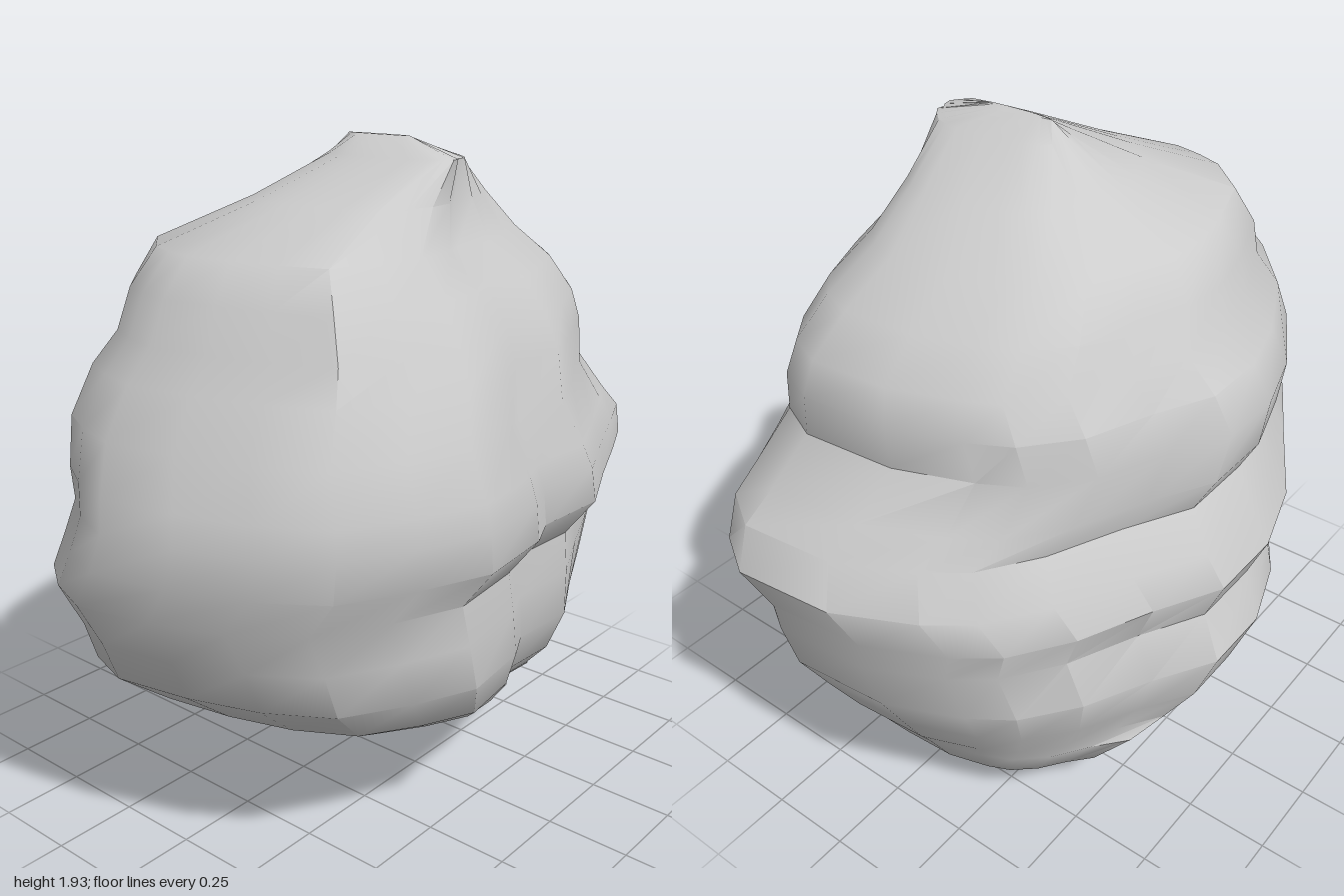
import * as THREE from 'three';
import { toCreasedNormals } from 'three/addons/utils/BufferGeometryUtils.js';

// Plan outline of the boulder (x, z), clockwise seen from above
const PLAN = [
  [0.24, -1], [0.38, -0.92], [0.46, -0.75], [0.57, -0.5], [0.68, -0.27], [0.67, -0.02],
  [0.72, 0.09], [0.75, 0.35], [0.67, 0.55], [0.56, 0.75], [0.38, 0.87], [0.17, 0.95],
  [-0.06, 1], [-0.21, 0.95], [-0.34, 0.87], [-0.5, 0.6], [-0.67, 0.32], [-0.75, 0.07],
  [-0.75, -0.18], [-0.64, -0.38], [-0.54, -0.6], [-0.42, -0.77], [-0.3, -0.86], [-0.07, -0.97],
];

// Levels from the foot to the ridge: y, xMin, xMax, zMin, zMax, squareness
const LEVELS = [
  [0, -0.18, -0.16, -0.33, -0.31, 0],
  [0.04, -0.37, 0.03, -0.45, -0.18, 0],
  [0.14, -0.48, 0.3, -0.65, 0, 0],
  [0.25, -0.58, 0.46, -0.72, 0.2, 0],
  [0.3, -0.63, 0.51, -0.76, 0.5, 0],
  [0.4, -0.7, 0.61, -0.82, 0.7, 0],
  [0.54, -0.75, 0.68, -0.9, 0.88, 0],
  [0.68, -0.69, 0.68, -0.93, 0.95, 0],
  [0.8, -0.74, 0.67, -0.96, 1, 0],
  [0.91, -0.69, 0.75, -1, 1, 0],
  [1.02, -0.62, 0.75, -0.94, 0.99, 0],
  [1.1, -0.66, 0.74, -0.85, 0.96, 0.05],
  [1.23, -0.67, 0.69, -0.74, 0.91, 0.1],
  [1.36, -0.63, 0.64, -0.75, 0.83, 0.15],
  [1.45, -0.54, 0.59, -0.71, 0.77, 0.2],
  [1.56, -0.51, 0.53, -0.61, 0.71, 0.25],
  [1.66, -0.43, 0.45, -0.46, 0.63, 0.3],
  [1.77, -0.22, 0.39, -0.29, 0.36, 0.3],
  [1.88, -0.07, 0.38, -0.1, 0.12, 0.3],
  [1.93, -0.02, 0.2, -0.01, 0.01, 0],
];

// Fit the plan outline into the extents of one level
function ring([y, x0, x1, z0, z1, square]) {
  return PLAN.flatMap(([px, pz]) => {
    const u = px / 0.75, v = pz;
    const s = 1 - square + square / Math.max(Math.abs(u), Math.abs(v));
    return [
      THREE.MathUtils.lerp(x0, x1, (u * s + 1) / 2),
      y,
      THREE.MathUtils.lerp(z0, z1, (v * s + 1) / 2),
    ];
  });
}

function boulderGeometry() {
  const n = PLAN.length, last = LEVELS.length - 1;
  const positions = LEVELS.flatMap(ring);
  const index = [];
  for (let j = 0; j < last; j++) {
    for (let i = 0; i < n; i++) {
      const a = j * n + i, b = j * n + (i + 1) % n;
      index.push(a, a + n, b, b, a + n, b + n);
    }
  }
  // Close the foot and the ridge
  for (let i = 1; i < n - 1; i++) {
    index.push(0, i, i + 1);
    index.push(last * n, last * n + i + 1, last * n + i);
  }
  const geometry = new THREE.BufferGeometry();
  geometry.setAttribute('position', new THREE.Float32BufferAttribute(positions, 3));
  geometry.setIndex(index);
  return toCreasedNormals(geometry, 0.65);
}

export function createModel() {
  const group = new THREE.Group();
  group.name = 'rock';
  const boulder = new THREE.Mesh(
    boulderGeometry(),
    new THREE.MeshStandardMaterial({ color: 0xcccccc }),
  );
  boulder.name = 'boulder';
  group.add(boulder);
  return group;
}
